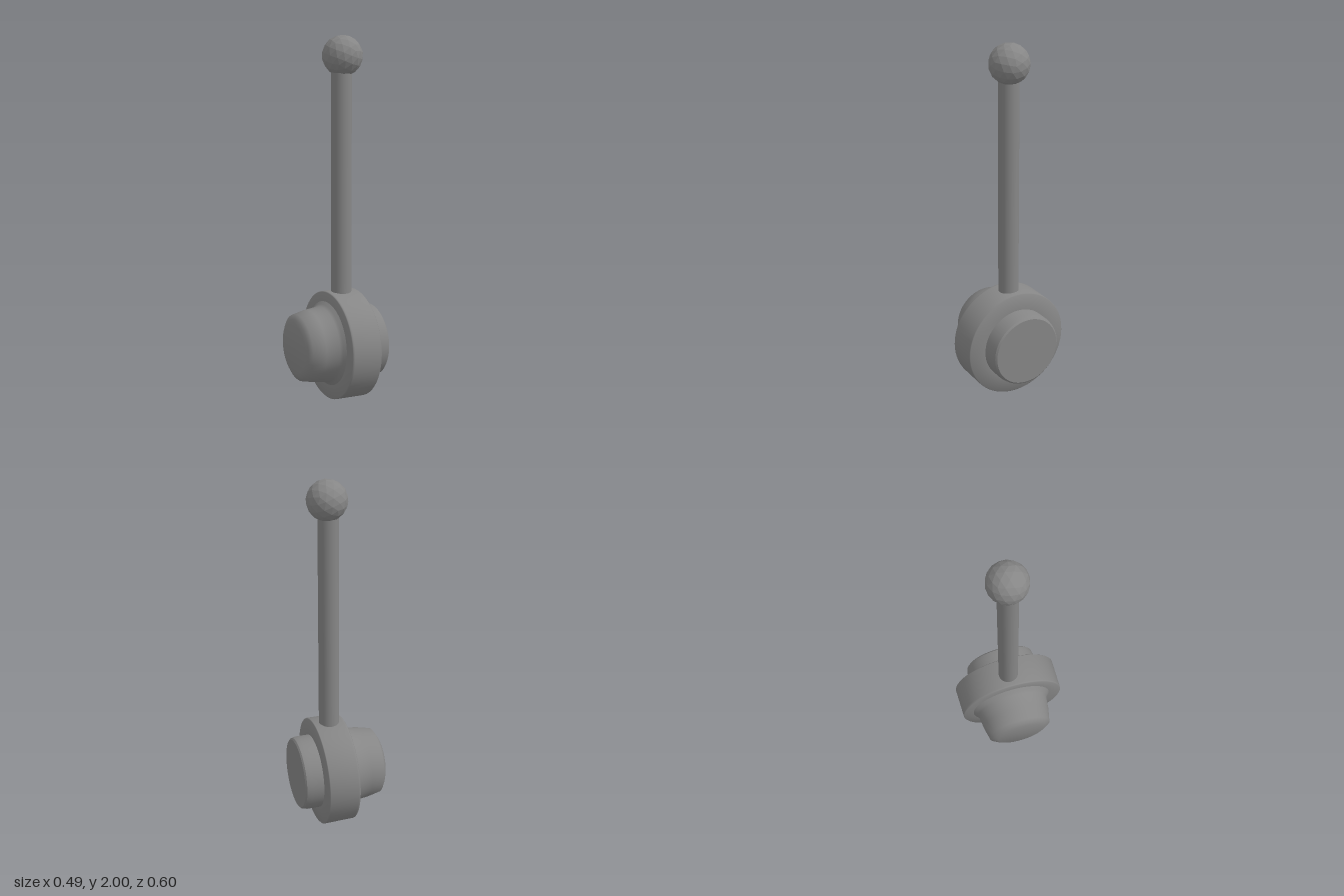
import * as THREE from 'three';
import { toCreasedNormals } from 'three/addons/utils/BufferGeometryUtils.js';

const color = 0x868686;
const material = new THREE.MeshStandardMaterial({ color });
const facetedMaterial = new THREE.MeshStandardMaterial({ color, flatShading: true });

// Turned part lying along x; profile is a list of [x, radius]
function turned(name, profile, y, z, crease, tilt = 0) {
  const points = profile.map(([x, r]) => new THREE.Vector2(r, x));
  const mesh = new THREE.Mesh(toCreasedNormals(new THREE.LatheGeometry(points, 64), crease), material);
  mesh.name = name;
  mesh.rotation.z = -Math.PI / 2 + tilt;
  mesh.position.set(0, y, z);
  return mesh;
}

export function createModel() {
  const model = new THREE.Group();
  model.name = 'lever';

  // Wide collar that carries the rod, its faces softly shaded towards the rim
  model.add(turned('collar', [
    [-0.042, 0], [-0.042, 0.2], [-0.042, 0.296], [-0.038, 0.3], [-0.03, 0.3],
    [0.122, 0.302], [0.13, 0.302], [0.134, 0.298], [0.139, 0.205], [0.139, 0],
  ], 0.305, -0.001, 1.2, -0.008));

  // Tapered knob with a rounded end and a flared foot against the collar
  model.add(turned('taperedKnob', [
    [-0.243, 0], [-0.243, 0.138], [-0.234, 0.158], [-0.218, 0.184], [-0.145, 0.2],
    [-0.068, 0.209], [-0.055, 0.22], [-0.04, 0.235], [-0.03, 0],
  ], 0.314, -0.007, 0.9));

  // Short round cap on the other side
  model.add(turned('endCap', [
    [0.1, 0], [0.1, 0.206], [0.21, 0.206], [0.235, 0.201], [0.243, 0.192], [0.243, 0],
  ], 0.306, -0.001, 0.45));

  // Upright rod
  const rod = new THREE.Mesh(new THREE.CylinderGeometry(0.056, 0.056, 1.32, 32), material);
  rod.name = 'rod';
  rod.position.set(0.046, 1.19, 0);
  model.add(rod);

  // Faceted ball grip
  const ball = new THREE.Mesh(new THREE.IcosahedronGeometry(0.11, 2), facetedMaterial);
  ball.name = 'ballGrip';
  ball.position.set(0.052, 1.891, 0);
  ball.rotation.set(0.3, 0.4, 0.2);
  model.add(ball);

  return model;
}
